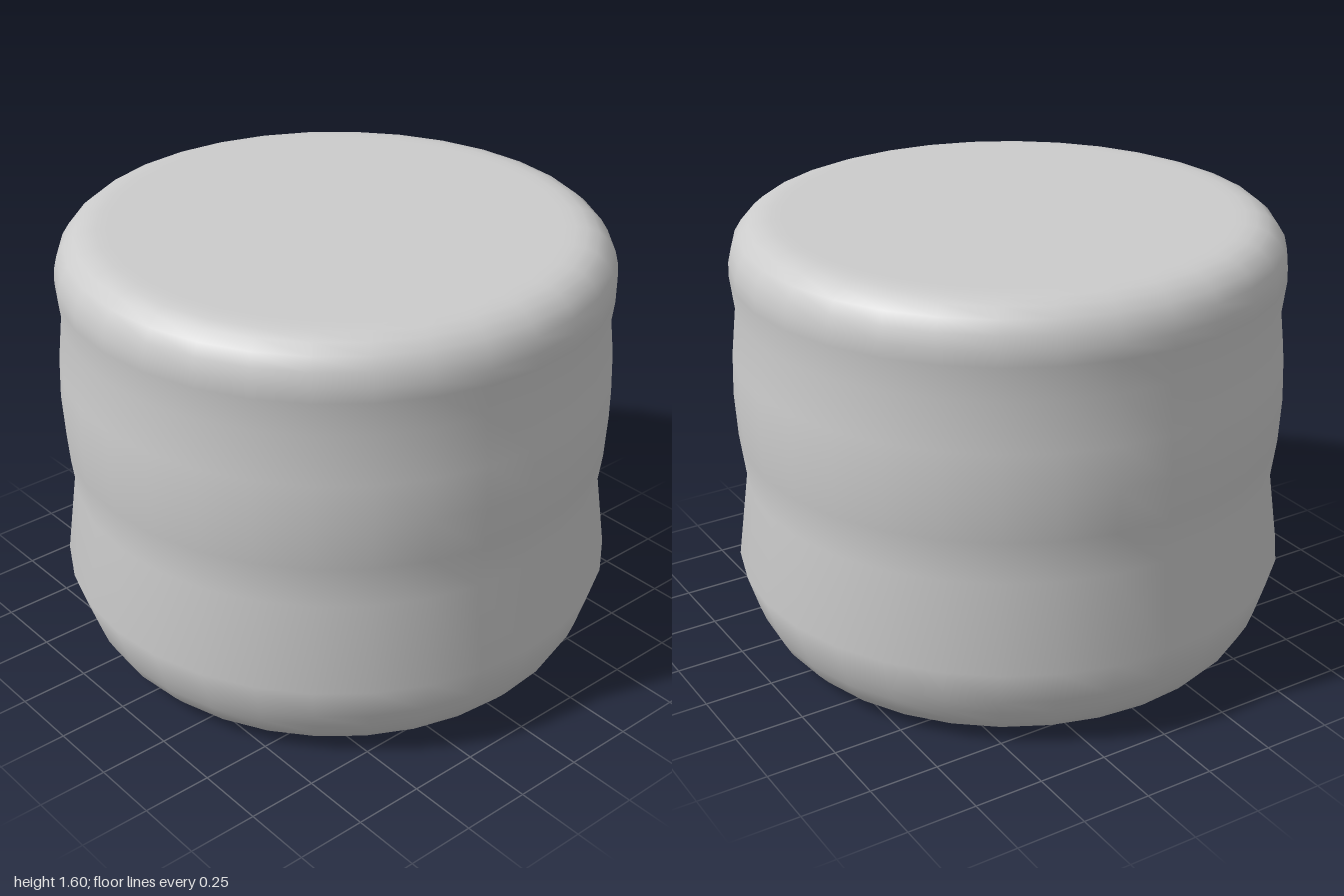
import * as THREE from 'three';

export function createModel() {
  const group = new THREE.Group();
  group.name = 'ribbedDrum';

  // Half profile (radius, height) from the base centre to the top centre
  const profile = [
    [0, 0], [0.74, 0], [0.77, 0.003],
    [0.82, 0.015], [0.87, 0.045], [0.91, 0.09], [0.94, 0.145], [0.96, 0.2], // rounded base edge
    [1, 0.33], [0.957, 0.65],                                              // lower bulge and groove
    [0.977, 0.81], [0.985, 0.97], [0.979, 1.12], [0.96, 1.29],             // middle bulge and groove
    [0.974, 1.41], [0.972, 1.46], [0.96, 1.51], [0.935, 1.55],             // upper bulge
    [0.9, 1.58], [0.86, 1.595], [0.82, 1.6], [0.78, 1.6], [0, 1.6],        // rounded top edge
  ].map(([r, y]) => new THREE.Vector2(r, y));

  const body = new THREE.Mesh(
    new THREE.LatheGeometry(profile, 32),
    new THREE.MeshStandardMaterial({ color: 0xcccccc })
  );
  body.name = 'body';
  group.add(body);
  return group;
}
